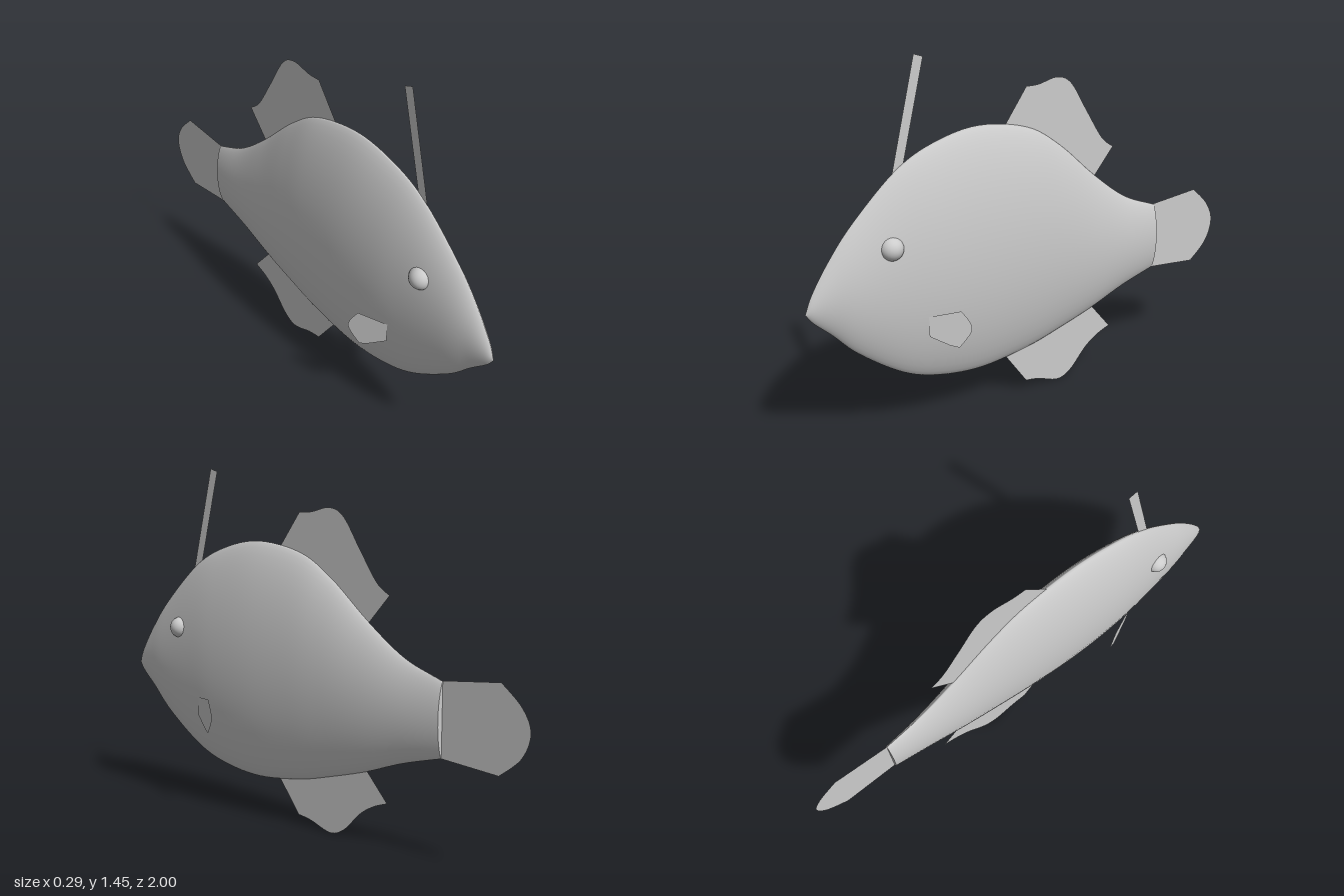
import * as THREE from 'three';

const skin = new THREE.MeshStandardMaterial({ color: 0xcccccc, side: THREE.DoubleSide });
skin.name = 'pale grey';

// Body stations: z, top y, bottom y, half width
const STATIONS = [
  [1, 0.58, 0.58, 0], [0.97, 0.65, 0.54, 0.016], [0.9, 0.758, 0.475, 0.036],
  [0.8, 0.88, 0.375, 0.057], [0.62, 1.045, 0.25, 0.08], [0.46, 1.125, 0.192, 0.095],
  [0.26, 1.163, 0.17, 0.1], [0.035, 1.125, 0.198, 0.092], [-0.125, 1.03, 0.238, 0.08],
  [-0.3, 0.88, 0.29, 0.063], [-0.47, 0.758, 0.352, 0.045], [-0.64, 0.69, 0.4, 0.028],
];
const RINGS = 66, SIDES = 40;

// Lens-shaped cross-section with narrow upper and lower ridges
function section(top, bottom, width) {
  const points = [];
  for (let j = 0; j < SIDES; j++) {
    const a = (j / SIDES) * Math.PI * 2, c = Math.cos(a);
    points.push(new THREE.Vector2(
      Math.sign(c) * Math.abs(c) ** 1.5 * width,
      (top + bottom) / 2 + Math.sin(a) * (top - bottom) / 2));
  }
  return points;
}

function bodyGeometry() {
  const outline = new THREE.CatmullRomCurve3(
    STATIONS.map(s => new THREE.Vector3(s[0], s[1], s[2])), false, 'catmullrom', 0.5);
  const widths = new THREE.CatmullRomCurve3(
    STATIONS.map(s => new THREE.Vector3(s[3], 0, 0)), false, 'catmullrom', 0.5);
  const positions = [], index = [];
  for (let i = 0; i <= RINGS; i++) {
    const o = outline.getPoint(i / RINGS), w = widths.getPoint(i / RINGS).x;
    for (const p of section(o.y, o.z, w)) positions.push(p.x, p.y, o.x);
  }
  for (let i = 0; i < RINGS; i++) {
    for (let j = 0; j < SIDES; j++) {
      const a = i * SIDES + j, c = i * SIDES + (j + 1) % SIDES;
      index.push(a, a + SIDES, c, c, a + SIDES, c + SIDES);
    }
  }
  const geometry = new THREE.BufferGeometry();
  geometry.setAttribute('position', new THREE.Float32BufferAttribute(positions, 3));
  geometry.setIndex(index);
  geometry.computeVertexNormals();
  return geometry;
}

// Thin fin in the z-y plane: straight leading edge, curved rim, straight base
function finGeometry(front, rim, base) {
  const v = p => new THREE.Vector2(p[0], p[1]);
  const shape = new THREE.Shape();
  shape.moveTo(...front);
  shape.lineTo(...rim[0]);
  shape.splineThru(rim.slice(1).map(v));
  base.forEach(p => shape.lineTo(...p));
  return new THREE.ShapeGeometry(shape, 6).rotateY(-Math.PI / 2);
}

export function createModel() {
  const group = new THREE.Group();
  const add = (name, geometry) => {
    const mesh = new THREE.Mesh(geometry, skin);
    mesh.name = name;
    group.add(mesh);
    return mesh;
  };

  add('body', bodyGeometry());

  // Flat end of the tail root
  const [z, top, bottom, width] = STATIONS[STATIONS.length - 1];
  const cap = new THREE.ShapeGeometry(new THREE.Shape(section(top, bottom, width)));
  add('tailRoot', cap.rotateY(Math.PI).translate(0, 0, z));

  // Median fins
  add('dorsalFin', finGeometry([0.145, 1.14],
    [[0.04, 1.285], [-0.02, 1.287], [-0.11, 1.305], [-0.18, 1.272], [-0.26, 1.15], [-0.34, 1.03], [-0.4, 0.985]],
    [[-0.305, 0.875], [-0.25, 0.8], [0.1, 1.0]]));
  add('analFin', finGeometry([0.145, 0.18],
    [[0.045, 0.045], [-0.02, 0.034], [-0.12, 0.003], [-0.19, 0.03], [-0.27, 0.112], [-0.335, 0.155], [-0.4, 0.18]],
    [[-0.305, 0.29], [-0.25, 0.35], [0.1, 0.28]]));
  add('tailFin', finGeometry([-0.62, 0.69],
    [[-0.88, 0.715], [-0.965, 0.635], [-1, 0.55], [-0.967, 0.455], [-0.88, 0.378]],
    [[-0.62, 0.402]]));

  // Slender spine on the head
  add('dorsalSpine', finGeometry([0.638, 1.015], [[0.528, 1.455], [0.49, 1.443]], [[0.598, 1.015]]));

  for (const [side, x] of [['left', 1], ['right', -1]]) {
    // Pectoral fin, splayed outwards towards the back
    const fin = finGeometry([0.545, 0.485],
      [[0.435, 0.498], [0.405, 0.45], [0.402, 0.41], [0.443, 0.35]],
      [[0.475, 0.362], [0.545, 0.405]]);
    const p = fin.attributes.position;
    for (let i = 0; i < p.count; i++) p.setX(i, x * (0.078 + (0.545 - p.getZ(i)) * 0.46));
    fin.computeVertexNormals();
    add(side + 'PectoralFin', fin);

    // Bulging eye
    add(side + 'Eye', new THREE.SphereGeometry(0.045, 24, 16)).position.set(x * 0.052, 0.775, 0.675);
  }
  return group;
}
